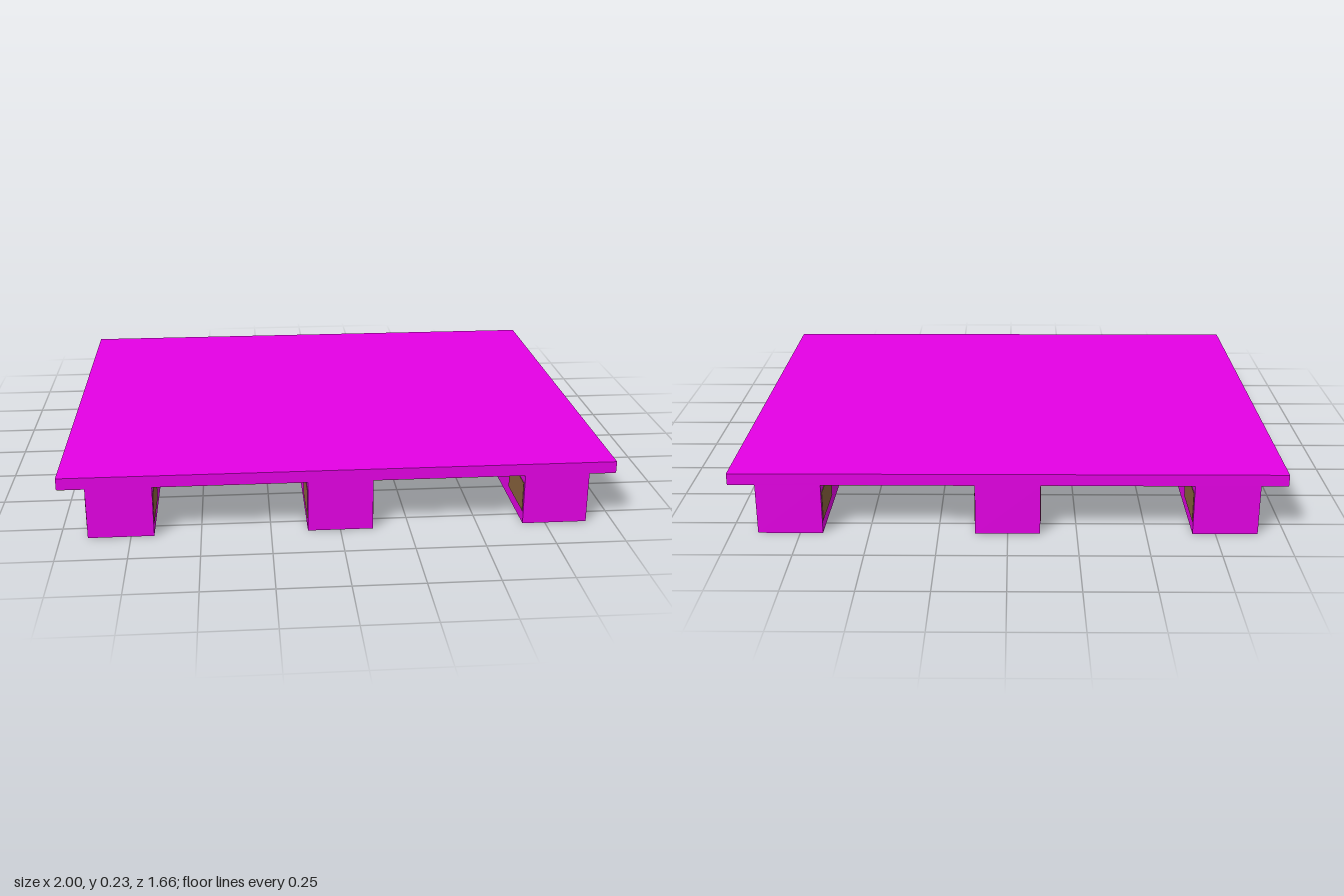
import * as THREE from 'three';

const shellMaterial = new THREE.MeshStandardMaterial({ color: 0xe600e6 });
const woodMaterial = new THREE.MeshStandardMaterial({ color: 0x8a643e });

const WIDTH = 2, DEPTH = 1.66, TOP = 0.233, DECK_BOTTOM = 0.19;
const RUNNER_WIDTH = 0.235;
const PROUD = 0.002; // how far the wood stands out of the shell

function addBox(parent, name, material, size, position) {
  const mesh = new THREE.Mesh(new THREE.BoxGeometry(...size), material);
  mesh.name = name;
  mesh.position.set(...position);
  parent.add(mesh);
}

export function createModel() {
  const pallet = new THREE.Group();
  pallet.name = 'pallet';

  // Solid top deck
  addBox(pallet, 'deck', shellMaterial,
    [WIDTH, TOP - DECK_BOTTOM, DEPTH], [0, (TOP + DECK_BOTTOM) / 2, 0]);

  // Wooden slats showing on the underside of the deck, with narrow gaps
  const slatCount = 7, slatWidth = 0.19;
  const pitch = (DEPTH - slatWidth) / (slatCount - 1);
  for (let i = 0; i < slatCount; i++) {
    addBox(pallet, 'deckSlat', woodMaterial,
      [WIDTH - 0.004, 0.02, slatWidth - 0.004],
      [0, DECK_BOTTOM - PROUD + 0.01, (i - (slatCount - 1) / 2) * pitch]);
  }

  // Three runners from front to back, each with three wooden blocks
  for (const x of [-0.785, 0, 0.785]) {
    const runner = new THREE.Group();
    runner.name = 'runner';
    runner.position.x = x;
    addBox(runner, 'runnerBeam', shellMaterial,
      [RUNNER_WIDTH, DECK_BOTTOM, DEPTH], [0, DECK_BOTTOM / 2, 0]);
    for (const z of [-0.71, 0, 0.71]) {
      addBox(runner, 'spacerBlock', woodMaterial,
        [RUNNER_WIDTH + 2 * PROUD, 0.11, 0.22], [0, 0.1, z]);
    }
    pallet.add(runner);
  }

  return pallet;
}
